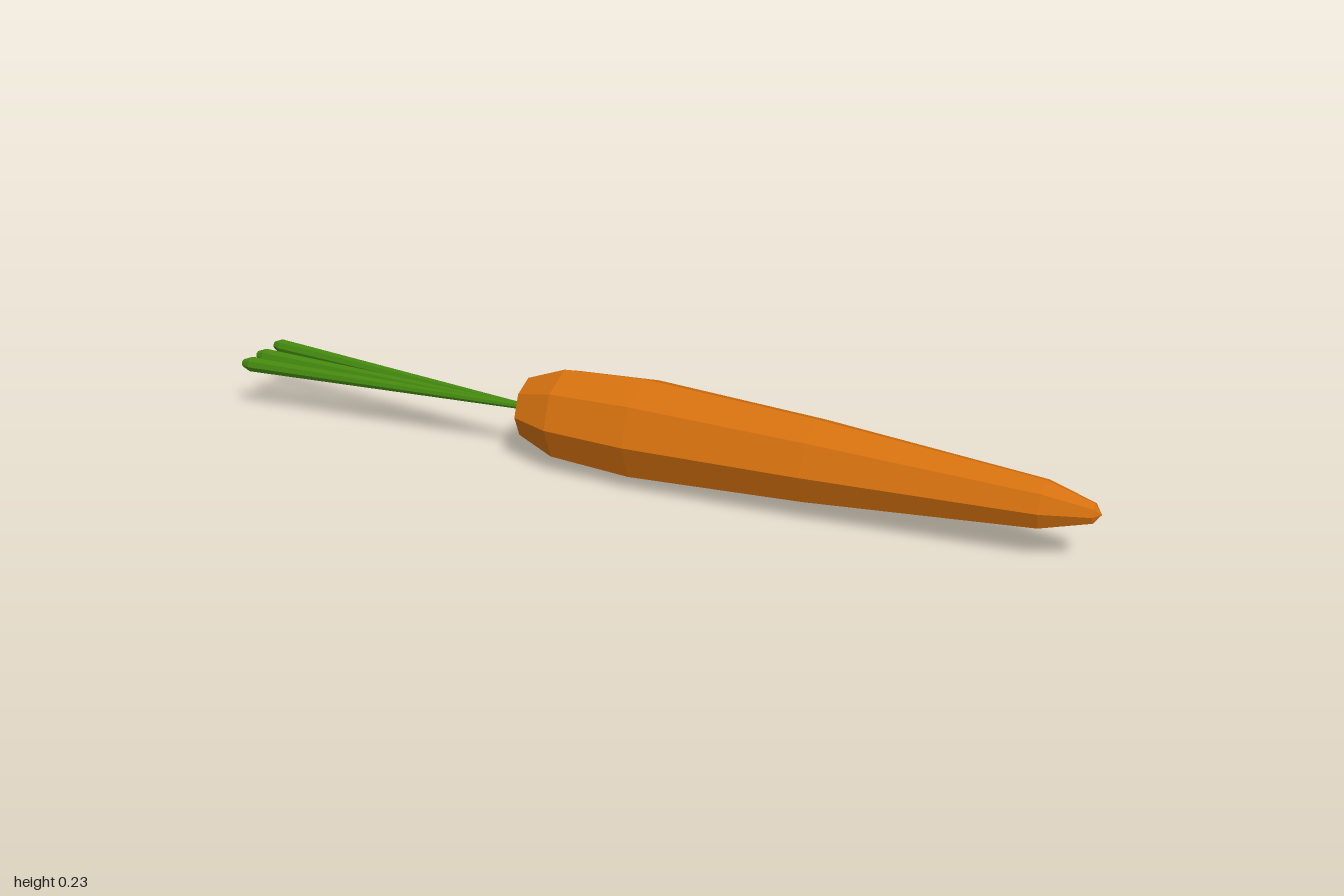
import * as THREE from 'three';

const orange = new THREE.MeshStandardMaterial({ color: 0xd4700f, flatShading: true });
orange.name = 'carrot orange';
const green = new THREE.MeshStandardMaterial({ color: 0x44880f, flatShading: true });
green.name = 'stalk green';

// Faceted solid of revolution along +y from [distance, radius] pairs
function turned(profile, sides) {
  return new THREE.LatheGeometry(profile.map(([d, r]) => new THREE.Vector2(r, d)), sides);
}

export function createModel() {
  const model = new THREE.Group();
  model.name = 'carrot';
  const axisY = 0.117;

  // Eight-sided root, lying along +x
  const root = new THREE.Mesh(turned([
    [-0.285, 0], [-0.27, 0.069], [-0.18, 0.104], [0.01, 0.115],
    [0.4, 0.094], [0.88, 0.053], [0.98, 0.022], [0.995, 0],
  ], 8).rotateZ(-Math.PI / 2), orange);
  root.name = 'root';
  root.position.y = axisY;
  model.add(root);

  // Three stalks fanning out from the crown towards -x
  const crown = new THREE.Vector3(-0.27, axisY, 0.004);
  [-0.07, 0, 0.058].forEach((z, i) => {
    const end = new THREE.Vector3(-1, axisY + 0.002, z);
    const dir = end.clone().sub(crown);
    const length = dir.length();
    const stalk = new THREE.Mesh(turned([
      [0, 0], [0, 0.007], [length - 0.025, 0.018], [length - 0.003, 0.009], [length, 0],
    ], 8), green);
    stalk.name = 'stalk' + (i + 1);
    stalk.position.copy(crown);
    stalk.quaternion.setFromUnitVectors(new THREE.Vector3(0, 1, 0), dir.normalize());
    model.add(stalk);
  });

  return model;
}
